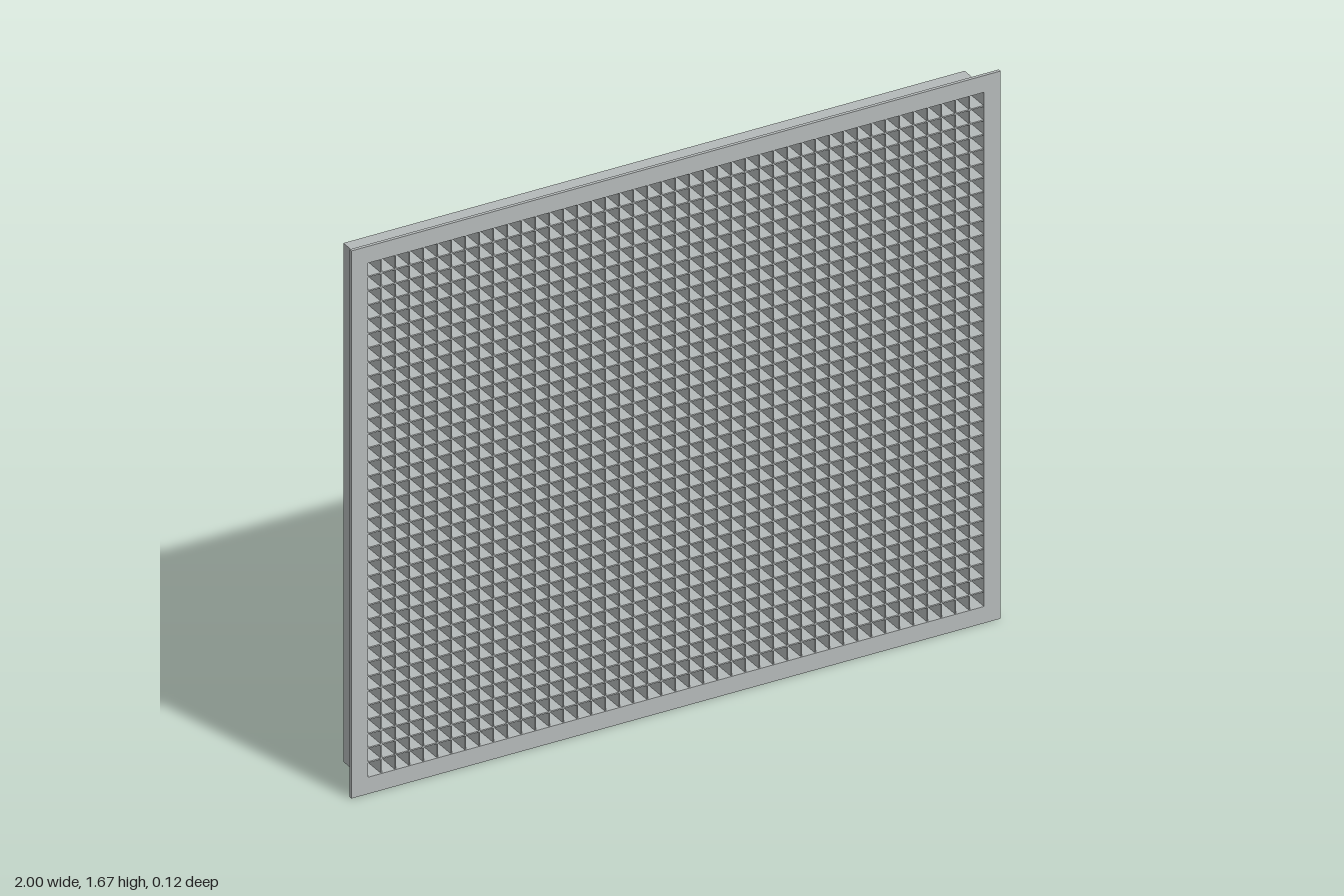
import * as THREE from 'three';
import { mergeGeometries } from 'three/addons/utils/BufferGeometryUtils.js';

const H = 1.67, CY = H / 2;          // overall height and its middle
const FRONT = 0.061, BACK = -0.061;  // depth limits
const IN_W = 1.898, IN_H = 1.568;    // opening
const BOX_W = 1.914, BOX_H = 1.582;  // duct collar
const COLS = 44, ROWS = 36, BLADE = 0.004;

// Rectangular ring lying in the xy plane, from z0 to z1
function ring(w, h, iw, ih, z0, z1) {
  const rect = (C, a, b) => new C([
    new THREE.Vector2(-a / 2, -b / 2), new THREE.Vector2(a / 2, -b / 2),
    new THREE.Vector2(a / 2, b / 2), new THREE.Vector2(-a / 2, b / 2),
  ]);
  const shape = rect(THREE.Shape, w, h);
  shape.holes.push(rect(THREE.Path, iw, ih));
  return new THREE.ExtrudeGeometry(shape, { depth: z1 - z0, bevelEnabled: false }).translate(0, CY, z0);
}

// Box between two depths
function slab(w, h, z0, z1, x = 0, y = 0) {
  return new THREE.BoxGeometry(w, h, z1 - z0).translate(x, CY + y, (z0 + z1) / 2);
}

export function createModel() {
  const group = new THREE.Group();
  const metal = new THREE.MeshStandardMaterial({ color: 0xb4b9b9 });
  metal.name = 'grey metal';
  const dark = new THREE.MeshStandardMaterial({ color: 0x2a2a2a });
  dark.name = 'dark backing';

  const add = (name, geometry, material) => {
    const mesh = new THREE.Mesh(geometry, material);
    mesh.name = name;
    group.add(mesh);
  };

  // Flat face flange and the collar behind it
  add('faceFrame', ring(2, H, IN_W, IN_H, FRONT - 0.01, FRONT), metal);
  add('collar', ring(BOX_W, BOX_H, IN_W, IN_H, BACK + 0.004, FRONT - 0.01), metal);

  // Egg-crate blades
  const z0 = BACK + 0.008, z1 = FRONT - 0.003;
  const upright = [], level = [];
  for (let i = 1; i < COLS; i++) upright.push(slab(BLADE, IN_H, z0, z1, (i / COLS - 0.5) * IN_W));
  for (let j = 1; j < ROWS; j++) level.push(slab(IN_W, BLADE, z0, z1, 0, (j / ROWS - 0.5) * IN_H));
  add('verticalBlades', mergeGeometries(upright), metal);
  add('horizontalBlades', mergeGeometries(level), metal);

  // Grey panel closing the cells, dark sheet on the back
  add('innerPanel', slab(IN_W, IN_H, BACK + 0.004, z0), metal);
  add('backSheet', slab(BOX_W - 0.006, BOX_H - 0.006, BACK, BACK + 0.004), dark);

  return group;
}
